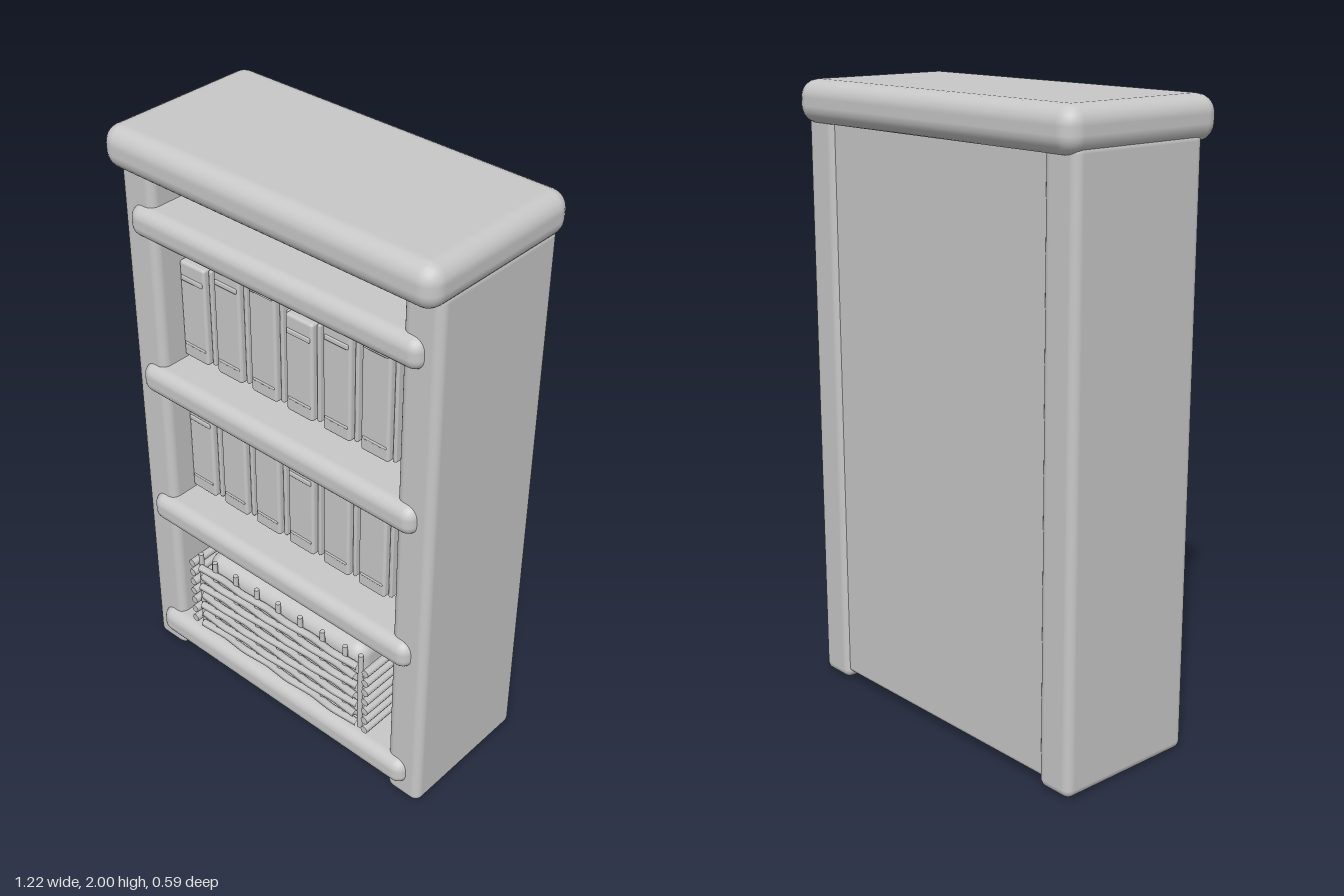
import * as THREE from 'three';
import { RoundedBoxGeometry } from 'three/addons/geometries/RoundedBoxGeometry.js';

export function createModel() {
  const model = new THREE.Group();
  model.name = 'bookcase';
  const grey = new THREE.MeshStandardMaterial({ color: 0xc8c8c8 });
  grey.name = 'plain grey';

  const add = (parent, name, geometry) => {
    const mesh = new THREE.Mesh(geometry, grey);
    mesh.name = name;
    parent.add(mesh);
    return mesh;
  };
  // Rounded box given by its limits along each axis
  const block = (parent, name, [x0, x1], [y0, y1], [z0, z1], radius, segments = 3) => {
    const g = new RoundedBoxGeometry(x1 - x0, y1 - y0, z1 - z0, segments, radius);
    g.translate((x0 + x1) / 2, (y0 + y1) / 2, (z0 + z1) / 2);
    return add(parent, name, g);
  };

  // Carcass
  block(model, 'topBoard', [-0.61, 0.61], [1.865, 2], [-0.297, 0.293], 0.055);
  block(model, 'leftSide', [0.468, 0.598], [0.005, 1.9], [-0.26, 0.235], 0.028);
  block(model, 'rightSide', [-0.598, -0.468], [0.005, 1.9], [-0.26, 0.235], 0.028);
  block(model, 'backPanel', [-0.5, 0.5], [0.03, 1.9], [-0.247, -0.2], 0.015, 2);

  // Shelves with soft edges
  for (const y of [0.115, 0.63, 1.15, 1.705]) {
    block(model, 'shelf', [-0.55, 0.55], [y - 0.051, y + 0.051], [-0.235, 0.265], 0.04);
  }

  // Books: pages, two covers, a spine and raised bands
  const bookHeights = [0.34, 0.382, 0.42];
  const addBook = (x, y, height) => {
    const book = new THREE.Group();
    book.name = 'book';
    book.position.set(x, y, 0);
    model.add(book);
    block(book, 'pages', [-0.052, 0.052], [0.01, height - 0.012], [-0.165, 0.12], 0.003, 1);
    for (const s of [-1, 1]) {
      block(book, 'cover', [s * 0.059 - 0.007, s * 0.059 + 0.007], [0, height - 0.003], [-0.17, 0.128], 0.004, 1);
    }
    block(book, 'spine', [-0.056, 0.05], [0, height], [0.105, 0.145], 0.01, 2);
    block(book, 'upperBand', [-0.047, 0.042], [height - 0.063, height - 0.047], [0.13, 0.15], 0.003, 1);
    block(book, 'lowerBand', [-0.047, 0.042], [0.045, 0.054], [0.13, 0.148], 0.003, 1);
  };
  for (const y of [1.212, 0.692]) {
    for (let i = 0; i < 6; i++) addBook(-0.413 + i * 0.1455, y, bookHeights[i % 3]);
  }

  // Woven basket
  const basket = new THREE.Group();
  basket.name = 'basket';
  model.add(basket);
  block(basket, 'basketBody', [-0.345, 0.345], [0.176, 0.508], [-0.16, 0.225], 0.05);

  const rod = (name, a, b, radius) => {
    const from = new THREE.Vector3(...a), to = new THREE.Vector3(...b);
    const mesh = add(basket, name, new THREE.CylinderGeometry(radius, radius, from.distanceTo(to), 8));
    mesh.position.copy(from).add(to).multiplyScalar(0.5);
    mesh.quaternion.setFromUnitVectors(new THREE.Vector3(0, 1, 0), to.sub(from).normalize());
  };

  // Upright stakes on the front and back, with taller corner posts
  for (const z of [0.234, -0.17]) {
    for (let i = -3; i <= 3; i++) rod('stake', [i * 0.096, 0.195, z], [i * 0.096, 0.508, z], 0.009);
    for (const x of [-0.353, 0.353]) rod('cornerPost', [x, 0.195, z], [x, 0.51, z], 0.009);
  }

  // Horizontal strands: wavy across the front and back, straight along the sides
  for (let row = 0; row < 7; row++) {
    const y = 0.21 + row * 0.0417;
    for (const z of [0.243, -0.178]) {
      const points = [];
      for (let i = 0; i <= 14; i++) {
        const wave = Math.cos(i * Math.PI / 2 + row * Math.PI) * 0.005;
        points.push(new THREE.Vector3(-0.345 + i * 0.0493, y + wave * 0.5, z + wave));
      }
      add(basket, 'wovenStrand', new THREE.TubeGeometry(new THREE.CatmullRomCurve3(points), 42, 0.013, 6));
    }
    for (const x of [-0.384, 0.384]) rod('sideStrand', [x, y, -0.17], [x, y, 0.25], 0.014);
  }

  return model;
}
